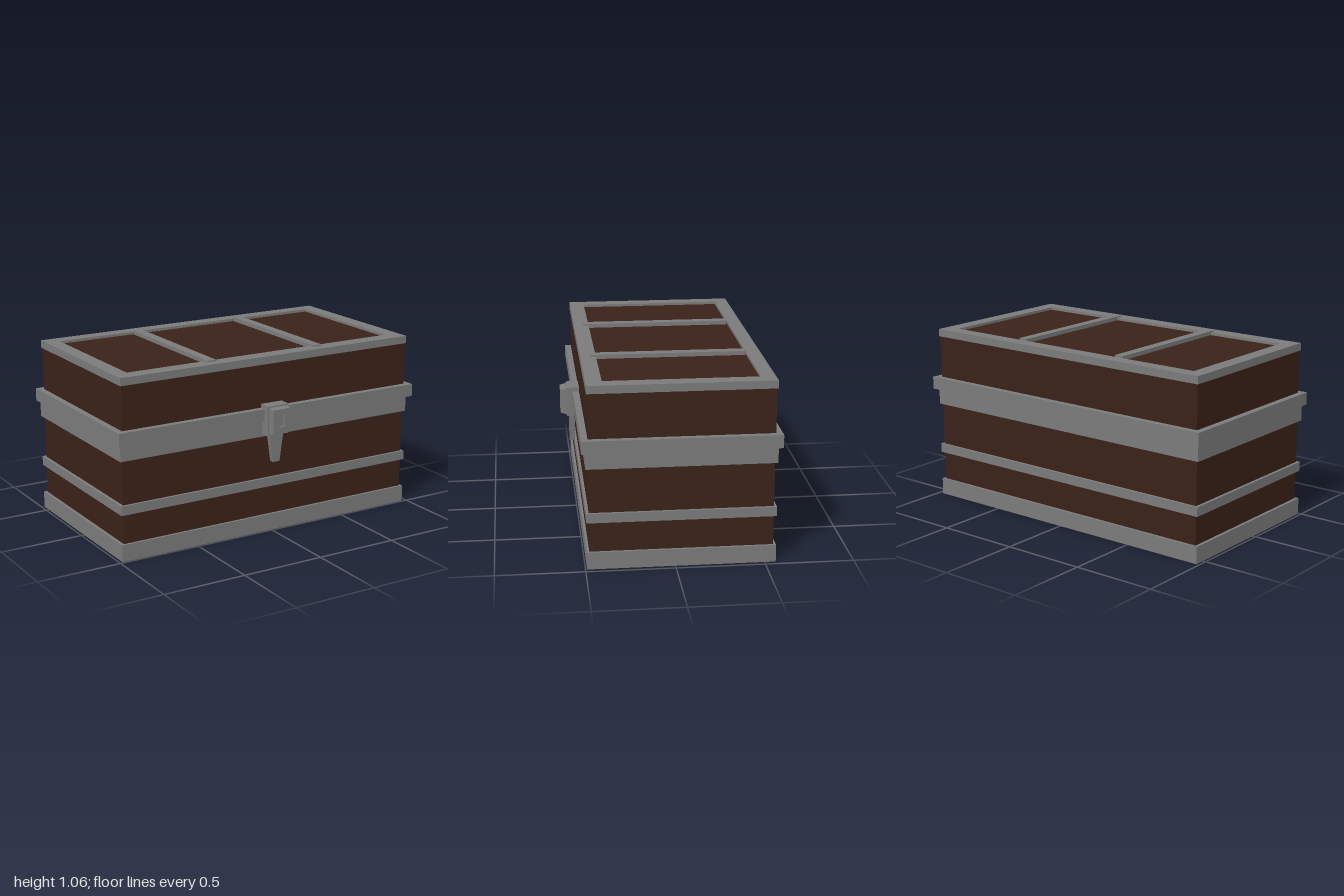
import * as THREE from 'three';

const wood = new THREE.MeshStandardMaterial({ color: 0x3a2219 });
const metal = new THREE.MeshStandardMaterial({ color: 0x7b7b7b });

function addMesh(group, name, geometry, material) {
  const mesh = new THREE.Mesh(geometry, material);
  mesh.name = name;
  group.add(mesh);
  return mesh;
}

// Box given by its limits on each axis
function addBox(group, name, [x0, x1], [y0, y1], [z0, z1], material) {
  const mesh = addMesh(group, name, new THREE.BoxGeometry(x1 - x0, y1 - y0, z1 - z0), material);
  mesh.position.set((x0 + x1) / 2, (y0 + y1) / 2, (z0 + z1) / 2);
}

function rectPoints([x0, x1], [y0, y1]) {
  return [[x0, y0], [x1, y0], [x1, y1], [x0, y1]].map(([x, y]) => new THREE.Vector2(x, y));
}

function rectRing(outer, inner, depth) {
  const shape = new THREE.Shape(rectPoints(...outer));
  shape.holes.push(new THREE.Path(rectPoints(...inner)));
  return new THREE.ExtrudeGeometry(shape, { depth, bevelEnabled: false });
}

// Horizontal rectangular hoop around the chest
function addHoop(group, name, x, [y0, y1], z, innerX, innerZ) {
  const flip = ([a, b]) => [-b, -a];
  const geometry = rectRing([x, flip(z)], [innerX, flip(innerZ)], y1 - y0);
  geometry.rotateX(-Math.PI / 2).translate(0, y0, 0);
  addMesh(group, name, geometry, metal);
}

function createLatch() {
  const latch = new THREE.Group();
  latch.name = 'latch';
  latch.position.x = 0.002;
  addBox(latch, 'latchBlock', [-0.07, 0.07], [0.603, 0.778], [0.45, 0.552], metal);

  // Tapered lock plate with a keyhole slot
  const plate = rectRing([[-0.061, 0.061], [0.612, 0.77]], [[-0.019, 0.019], [0.655, 0.728]], 0.035);
  const p = plate.attributes.position;
  for (let i = 0; i < p.count; i++) {
    if (p.getZ(i) > 0.01 && Math.abs(p.getX(i)) > 0.05) {
      p.setX(i, p.getX(i) * 0.9);
      p.setY(i, 0.691 + (p.getY(i) - 0.691) * 0.91);
    }
  }
  plate.computeVertexNormals();
  plate.translate(0, 0, 0.552);
  addMesh(latch, 'lockPlate', plate, metal);

  // Shallow floor of the keyhole slot
  addBox(latch, 'keyholeFloor', [-0.025, 0.025], [0.65, 0.733], [0.55, 0.572], metal);

  // Hanging tongue, narrowing downwards
  const tongue = new THREE.Shape([[-0.022, 0.435], [0.022, 0.435], [0.047, 0.61], [-0.047, 0.61]]
    .map(([x, y]) => new THREE.Vector2(x, y)));
  const geometry = new THREE.ExtrudeGeometry(tongue, { depth: 0.032, bevelEnabled: false });
  addMesh(latch, 'latchTongue', geometry.translate(0, 0, 0.504), metal);
  return latch;
}

export function createModel() {
  const chest = new THREE.Group();
  chest.name = 'chest';

  // Wooden base and lid
  const bodyZ = [-0.548, 0.477];
  addBox(chest, 'baseBody', [-0.965, 0.956], [0.03, 0.7], bodyZ, wood);
  addBox(chest, 'lidBody', [-0.963, 0.962], [0.7, 1.038], bodyZ, wood);

  // Metal hoops
  const hoopX = [-0.983, 0.971], hoopZ = [-0.563, 0.492];
  const innerX = [-0.875, 0.86], innerZ = [-0.45, 0.38];
  addHoop(chest, 'bottomFrame', hoopX, [0, 0.1], hoopZ, innerX, innerZ);
  addHoop(chest, 'middleBand', hoopX, [0.273, 0.328], hoopZ, innerX, innerZ);
  addHoop(chest, 'baseRim', hoopX, [0.585, 0.68], hoopZ, innerX, innerZ);
  addHoop(chest, 'lidRim', [-1, 1], [0.68, 0.755], [-0.585, 0.515], innerX, innerZ);
  addHoop(chest, 'topFrame', [-0.968, 0.967], [1.009, 1.054], [-0.554, 0.482],
    [-0.883, 0.88], [-0.472, 0.392]);

  // Straps across the lid
  for (const x of [-0.363, 0.355]) {
    addBox(chest, 'lidStrap', [x - 0.028, x + 0.028], [1.03, 1.062], [-0.465, 0.425], metal);
  }

  chest.add(createLatch());
  return chest;
}
